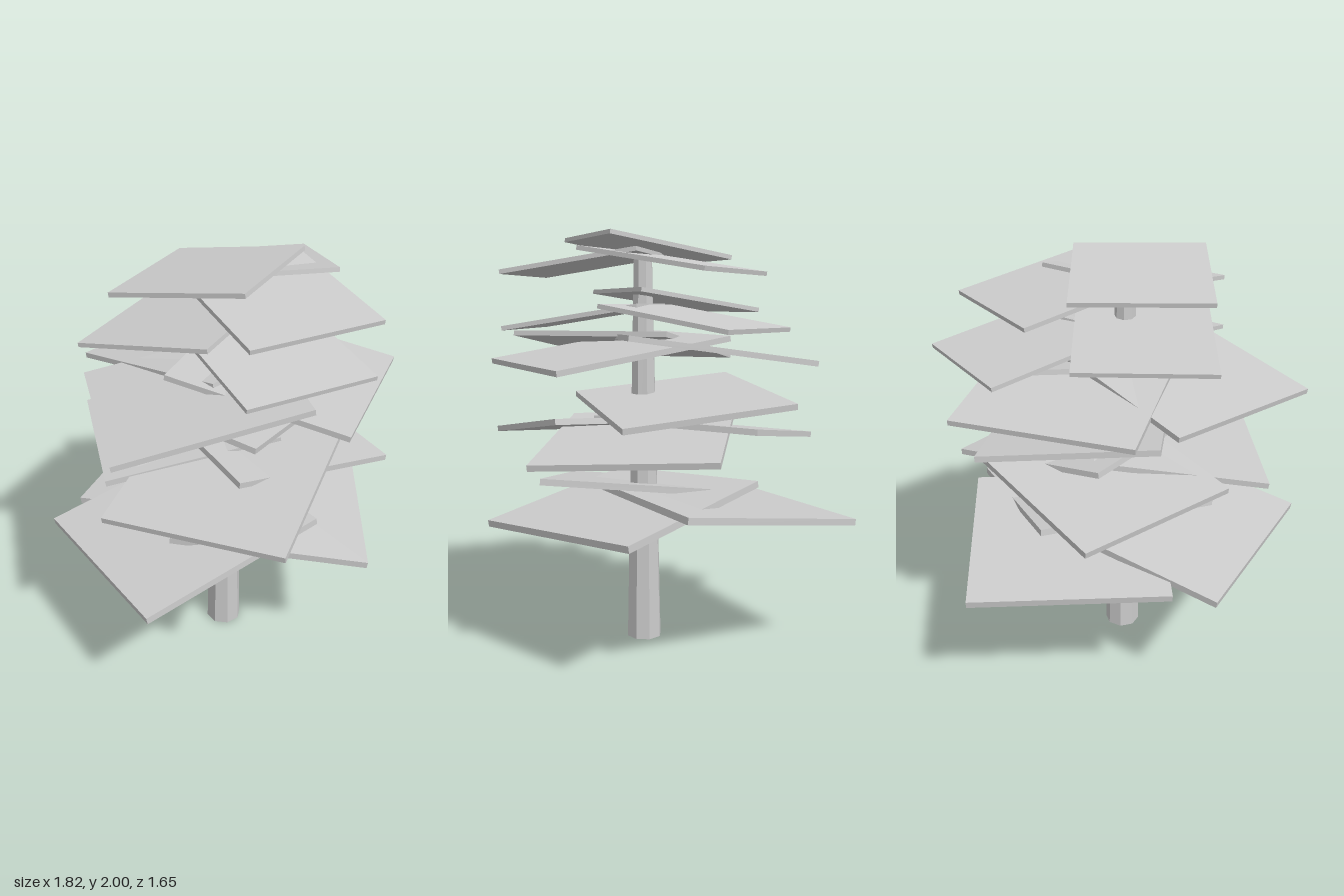
import * as THREE from 'three';

const material = new THREE.MeshStandardMaterial({ color: 0xcccccc, flatShading: true, side: THREE.DoubleSide });

// Tilted rectangular slab: a-b is the lower top edge, b-c the edge climbing from it
function slab(a, b, c, thickness) {
  const A = new THREE.Vector3(...a);
  const x = new THREE.Vector3(...b).sub(A);
  const v = new THREE.Vector3(...c).sub(new THREE.Vector3(...b));
  const width = x.length();
  x.normalize();
  v.addScaledVector(x, -v.dot(x)); // keep the corner square
  const depth = v.length();
  const y = new THREE.Vector3().crossVectors(x, v).normalize();
  if (y.y < 0) y.negate();
  const z = new THREE.Vector3().crossVectors(x, y);
  const mesh = new THREE.Mesh(new THREE.BoxGeometry(width, thickness, depth), material);
  mesh.quaternion.setFromRotationMatrix(new THREE.Matrix4().makeBasis(x, y, z));
  mesh.position.copy(A).addScaledVector(x, width / 2).addScaledVector(v, 0.5).addScaledVector(y, -thickness / 2);
  return mesh;
}

// Whorls of foliage from the bottom up; each slab is three corners [x, y, z]
const whorls = [
  { name: 'bottomFoliage', thickness: 0.032, slabs: [
    [[-0.35, 0.66, 0.745], [0.57, 0.70, 0.775], [0.59, 0.84, -0.14]],
    [[-0.417, 0.672, 0.56], [-0.91, 0.68, -0.21], [-0.145, 0.80, -0.71]],
    [[0.10, 0.71, -0.83], [0.82, 0.665, -0.27], [0.26, 0.79, 0.45]],
  ] },
  { name: 'lowerFoliage', thickness: 0.028, slabs: [
    [[0.20, 0.995, 0.76], [0.91, 1.03, 0.32], [0.47, 1.165, -0.38]],
    [[0.01, 1.03, 0.63], [-0.75, 1.015, 0.31], [-0.43, 1.135, -0.45]],
    [[-0.27, 1.03, -0.69], [0.555, 0.995, -0.61], [0.48, 1.115, 0.22]],
  ] },
  { name: 'middleFoliage', thickness: 0.028, slabs: [
    [[-0.615, 1.235, -0.335], [0.14, 1.16, -0.64], [0.46, 1.24, 0.115]],
  ] },
  { name: 'upperMiddleFoliage', thickness: 0.025, slabs: [
    [[-0.33, 1.41, 0.52], [0.44, 1.405, 0.825], [0.745, 1.545, 0.055]],
    [[0.39, 1.41, -0.77], [0.83, 1.415, -0.07], [0.13, 1.54, 0.37]],
    [[-0.515, 1.41, 0.41], [-0.695, 1.43, -0.40], [0.115, 1.545, -0.58]],
  ] },
  { name: 'upperFoliage', thickness: 0.02, slabs: [
    [[-0.16, 1.65, 0.62], [-0.456, 1.655, 0.07], [0.087, 1.75, -0.23]],
    [[-0.583, 1.57, -0.24], [-0.295, 1.575, -0.79], [0.255, 1.675, -0.50]],
    [[0.72, 1.575, -0.31], [0.63, 1.575, 0.31], [0.01, 1.675, 0.22]],
  ] },
  { name: 'topFoliage', thickness: 0.02, slabs: [
    [[-0.025, 1.9, 0.53], [-0.32, 1.9, -0.02], [0.22, 2.0, -0.31]],
    [[-0.48, 1.82, -0.13], [-0.20, 1.825, -0.68], [0.355, 1.925, -0.39]],
    [[0.72, 1.825, -0.32], [0.63, 1.825, 0.30], [0.01, 1.92, 0.21]],
  ] },
];

export function createModel() {
  const tree = new THREE.Group();
  tree.name = 'tree';

  // Tapered eight-sided trunk, open at the foot
  const trunkGeometry = new THREE.CylinderGeometry(0.046, 0.088, 1.9, 8, 1, true);
  trunkGeometry.rotateY(Math.PI / 8);
  const trunk = new THREE.Mesh(trunkGeometry, material);
  trunk.name = 'trunk';
  trunk.position.set(0.105, 0.95, 0.03);
  tree.add(trunk);

  // Layers of tilted foliage slabs
  for (const { name, thickness, slabs } of whorls) {
    const layer = new THREE.Group();
    layer.name = name;
    slabs.forEach((corners, i) => {
      const mesh = slab(...corners, thickness);
      mesh.name = `${name}Slab${i + 1}`;
      layer.add(mesh);
    });
    tree.add(layer);
  }
  return tree;
}
